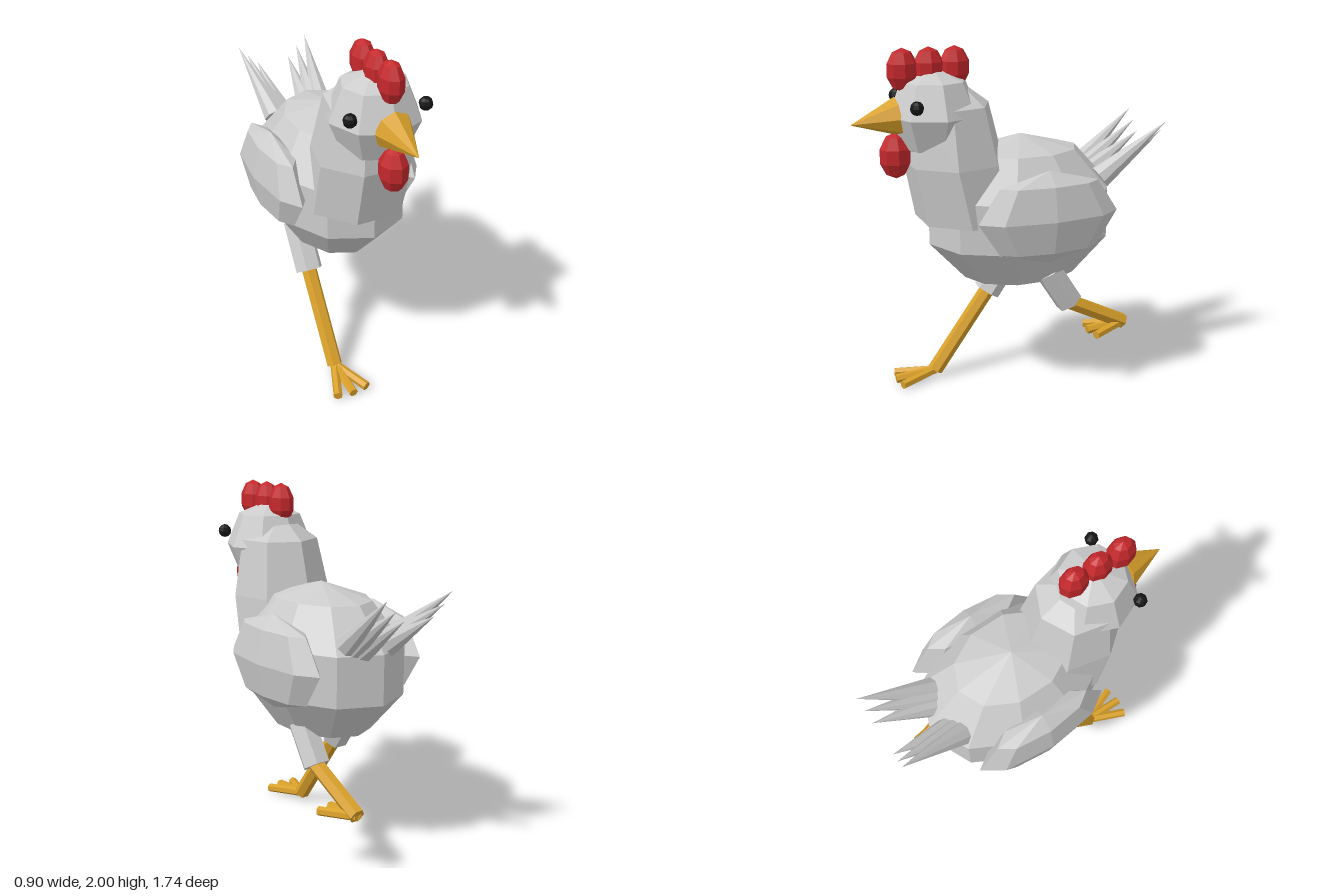
import * as THREE from 'three';

const material = (color) => new THREE.MeshStandardMaterial({ color, flatShading: true });

export function createModel() {
  const model = new THREE.Group();
  const white = material(0xcccccc);
  const red = material(0xc4282c);
  const yellow = material(0xd9a02a);
  const black = material(0x151515);

  const add = (name, geometry, mat, parent = model) => {
    const mesh = new THREE.Mesh(geometry, mat);
    mesh.name = name;
    parent.add(mesh);
    return mesh;
  };

  // Faceted ellipsoid with a corner of each ring at the back
  const blob = (name, center, radii, segments, rings, mat) => {
    const geometry = new THREE.SphereGeometry(1, segments, rings);
    geometry.rotateY(-Math.PI / 2).scale(...radii).translate(...center);
    return add(name, geometry, mat);
  };

  // Tapered rod running from one point to another
  const rod = (name, from, to, r0, r1, sides, mat, parent = model) => {
    const a = new THREE.Vector3(...from);
    const dir = new THREE.Vector3(...to).sub(a);
    const length = dir.length();
    const geometry = new THREE.CylinderGeometry(r1, r0, length, sides);
    geometry.rotateY(Math.PI / 2).translate(0, length / 2, 0);
    const mesh = add(name, geometry, mat, parent);
    mesh.quaternion.setFromUnitVectors(new THREE.Vector3(0, 1, 0), dir.normalize());
    mesh.position.copy(a);
    return mesh;
  };

  blob('body', [0, 1.055, -0.075], [0.41, 0.445, 0.5625], 10, 5, white);

  // Neck: leaning rings given as [y, centre z, radius]
  const neckRings = [[1.84, 0.31, 0], [1.69, 0.33, 0.22], [1.38, 0.31, 0.28], [1.06, 0.24, 0.29], [0.98, 0.18, 0]];
  const neck = new THREE.SphereGeometry(1, 7, 4).rotateY(-Math.PI / 2);
  const p = neck.attributes.position;
  for (let i = 0; i < p.count; i++) {
    const [y, z, r] = neckRings[Math.floor(i / 8)];
    const d = Math.hypot(p.getX(i), p.getZ(i)) || 1;
    p.setXYZ(i, (p.getX(i) / d) * r, y, z + (p.getZ(i) / d) * r);
  }
  add('neck', neck, white);

  // Head
  blob('head', [0, 1.645, 0.42], [0.25, 0.25, 0.25], 8, 4, white);
  rod('beak', [0, 1.645, 0.62], [0, 1.615, 0.87], 0.105, 0, 8, yellow);
  blob('wattle', [0, 1.435, 0.635], [0.078, 0.125, 0.09], 8, 5, red);
  for (const z of [0.585, 0.442, 0.3]) {
    blob('comb', [0, 1.885, z], [0.066, 0.115, 0.086], 8, 5, red);
  }

  // Paired parts
  for (const side of [1, -1]) {
    const label = side > 0 ? 'left' : 'right';
    blob(label + 'Eye', [side * 0.21, 1.72, 0.57], [0.037, 0.037, 0.037], 8, 6, black);
    blob(label + 'Wing', [side * 0.34, 1.107, -0.11], [0.112, 0.258, 0.403], 8, 4, white);

    // Tail feathers, the outer ones highest
    const tail = new THREE.Group();
    tail.name = label + 'TailFeathers';
    model.add(tail);
    const feathers = [
      [[0.15, 1.245, -0.5], [0.215, 1.545, -0.87]],
      [[0.115, 1.235, -0.52], [0.16, 1.485, -0.87]],
      [[0.08, 1.22, -0.54], [0.1, 1.43, -0.865]],
    ];
    for (const [from, to] of feathers) {
      from[0] *= side;
      to[0] *= side;
      rod('feather', from, to, 0.066, 0, 8, white, tail);
    }
  }

  // Legs: joints given as [y, z]; the right strides ahead, the left is lifted behind
  const leg = (label, x, hip, thighEnd, ankle, toeEnd) => {
    const group = new THREE.Group();
    group.name = label + 'Leg';
    model.add(group);
    rod('thigh', [x, ...hip], [x, ...thighEnd], 0.08, 0.08, 6, white, group);
    rod('shin', [x, ...thighEnd], [x, ...ankle], 0.045, 0.045, 6, yellow, group);
    for (const spread of [-0.09, 0, 0.09]) {
      const reach = spread ? -0.015 : 0;
      rod('toe', [x, ...ankle], [x + spread, toeEnd[0], toeEnd[1] + reach], 0.026, 0.026, 6, yellow, group);
    }
  };
  leg('right', -0.2, [0.75, -0.11], [0.51, 0.055], [0.05, 0.385], [0.03, 0.625]);
  leg('left', 0.2, [0.75, -0.165], [0.54, -0.3], [0.365, -0.65], [0.345, -0.42]);

  return model;
}
